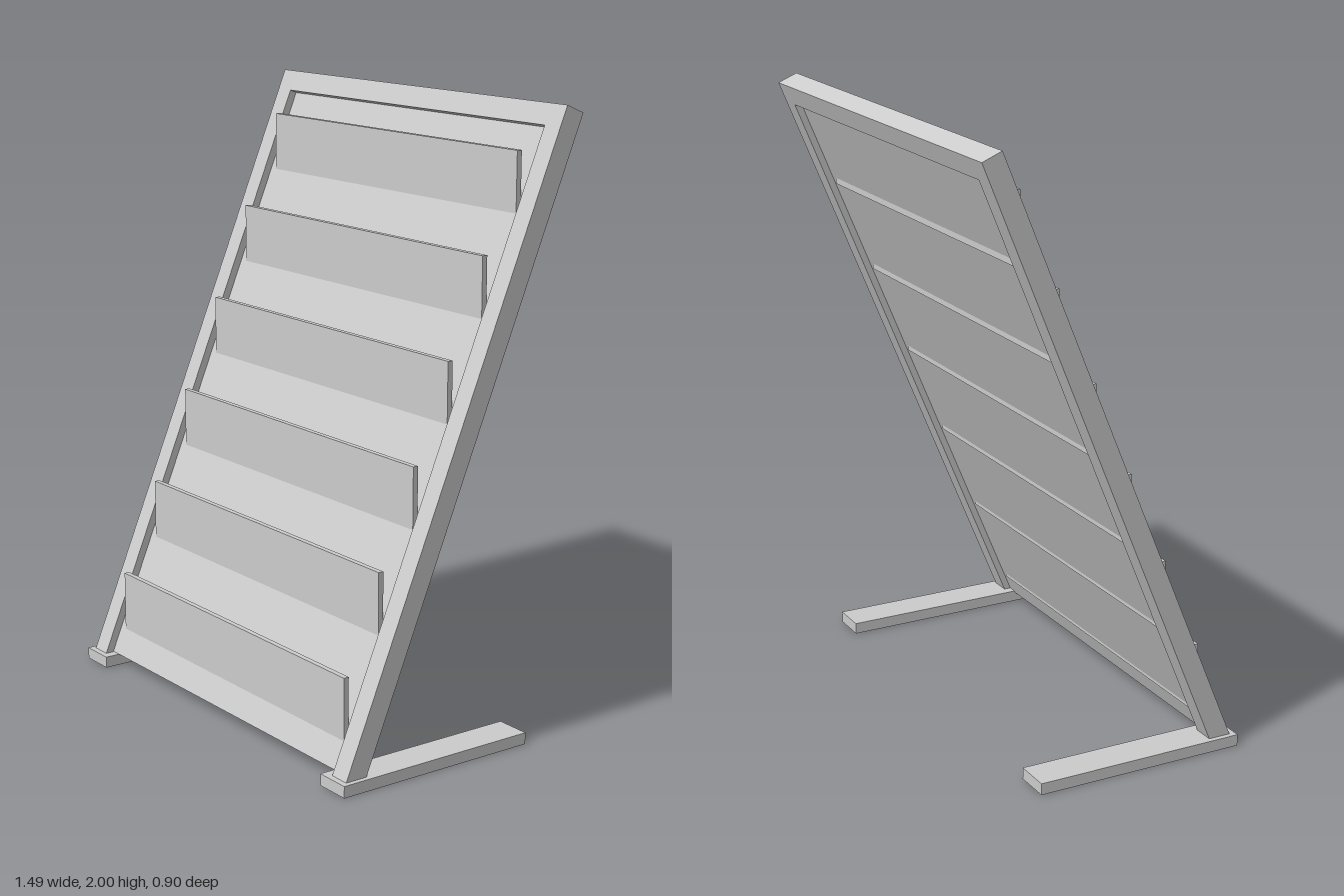
import * as THREE from 'three';

const material = new THREE.MeshStandardMaterial({ color: 0xcccccc, flatShading: true });

// Box given by its min and max corners
function box(name, [x0, y0, z0], [x1, y1, z1]) {
  const mesh = new THREE.Mesh(new THREE.BoxGeometry(x1 - x0, y1 - y0, z1 - z0), material);
  mesh.name = name;
  mesh.position.set((x0 + x1) / 2, (y0 + y1) / 2, (z0 + z1) / 2);
  return mesh;
}

// Foot hollowed from below: a rim of four walls under a thin top plate
function makeFoot(name, x) {
  const foot = new THREE.Group();
  foot.name = name;
  const w = 0.06, z0 = -0.26, z1 = 0.453, h = 0.038, top = 0.01, wall = 0.015;
  const rect = (P, a, b, c, d) => {
    const p = new P();
    p.moveTo(a, b).lineTo(c, b).lineTo(c, d).lineTo(a, d).closePath();
    return p;
  };
  const shape = rect(THREE.Shape, -w, -z1, w, -z0);
  shape.holes.push(rect(THREE.Path, -w + wall, -z1 + wall, w - wall, -z0 - wall));
  const geometry = new THREE.ExtrudeGeometry(shape, { depth: h - top, bevelEnabled: false });
  geometry.rotateX(-Math.PI / 2);
  const rim = new THREE.Mesh(geometry, material);
  rim.name = 'footRim';
  foot.add(rim, box('footTop', [-w, h - top, z0], [w, h, z1]));
  foot.position.x = x;
  return foot;
}

export function createModel() {
  const model = new THREE.Group();
  model.name = 'displayRack';

  // Leaning board, with its origin on the top front edge
  const board = new THREE.Group();
  board.name = 'leaningBoard';
  board.position.set(0, 2, -0.385);
  board.rotation.x = -0.395;
  const bar = 0.07, half = 0.728, inner = half - bar, length = 2.128;
  board.add(
    box('leftStile', [inner, -length, -bar], [half, 0, 0]),
    box('rightStile', [-half, -length, -bar], [-inner, 0, 0]),
    box('topRail', [-inner, -bar, -bar], [inner, 0, 0]),
    box('backPanel', [-inner, -2.113, -0.048], [inner, -bar, -0.026])
  );
  model.add(board);

  // Upright shelf lips, set through the panel
  for (let i = 0; i < 6; i++) {
    const y = 0.325 + i * 0.3075, z = 0.36 - i * 0.129;
    model.add(box('shelfLip' + (i + 1), [-0.63, y - 0.225, z - 0.009], [0.63, y, z + 0.009]));
  }

  model.add(makeFoot('leftFoot', 0.685), makeFoot('rightFoot', -0.685));
  return model;
}
